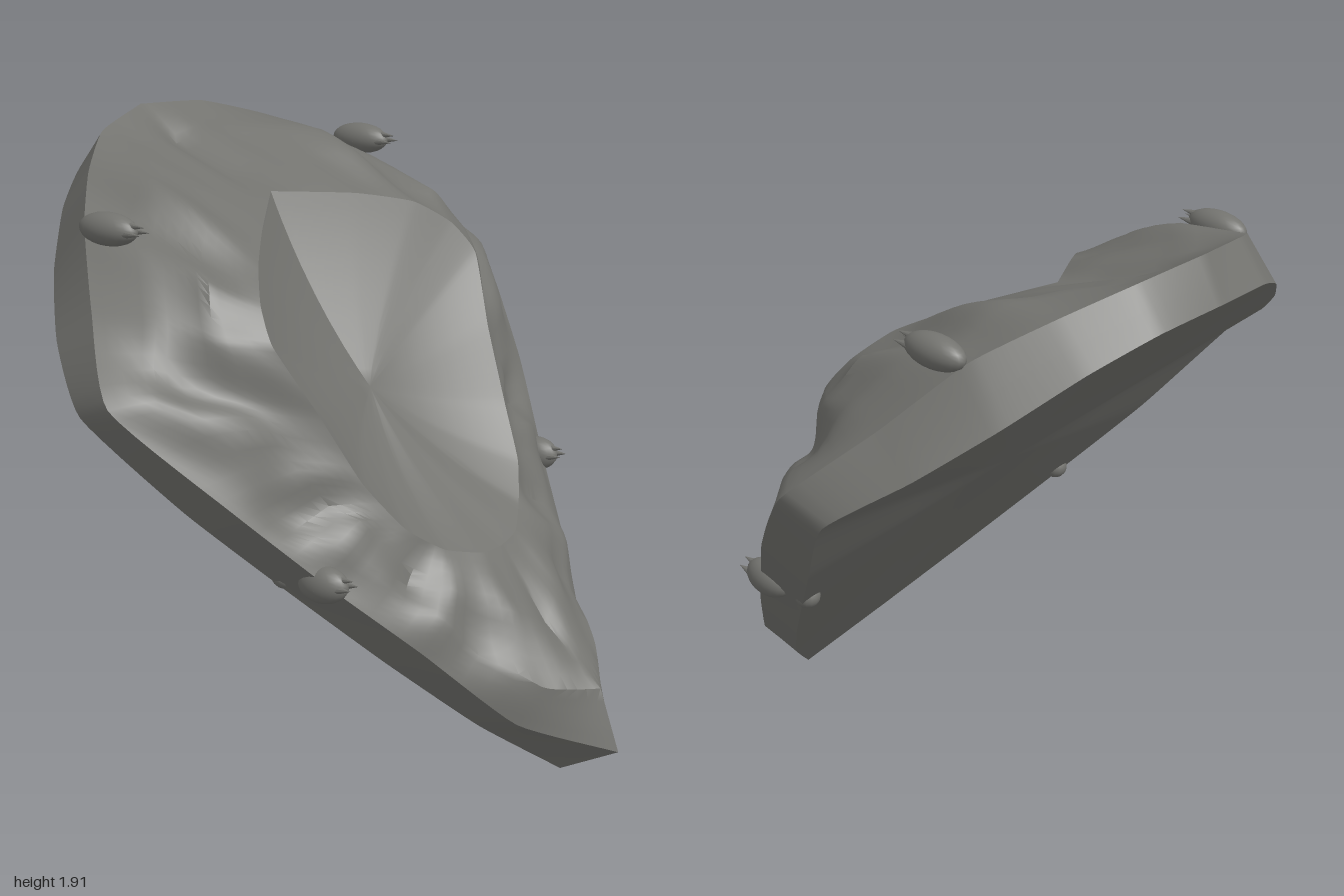
import * as THREE from 'three';
import { toCreasedNormals } from 'three/addons/utils/BufferGeometryUtils.js';

const HALF = 70; // samples along one half of each ring

// Half rings from top centre, past the side corner, to the bottom tip: [z, y, x]
const BACK_RIM = [[0, 1.78, -.94], [.25, 1.76, -.91], [.45, 1.68, -.82], [.65, 1.55, -.69], [.83, 1.41, -.53], [.97, 1.26, -.33],
  [.8, .96, -.1], [.6, .68, .14], [.42, .44, .35], [.22, .2, .56], [0, 0, .73]];
const FRONT_RIM = [[0, 1.91, -.87], [.25, 1.88, -.82], [.45, 1.81, -.71], [.64, 1.71, -.57], [.82, 1.52, -.4], [1, 1.32, -.2],
  [.81, 1.01, .08], [.62, .75, .29], [.44, .52, .49], [.23, .25, .7], [0, .12, .93]];
const OUTER_ROCK = [[0, 1.8, -.73], [.2, 1.84, -.65], [.4, 1.79, -.52], [.57, 1.7, -.41], [.74, 1.52, -.23], [.86, 1.33, -.1],
  [.7, 1.03, .11], [.53, .8, .31], [.36, .59, .51], [.17, .37, .75], [0, .32, .86]];
const INNER_ROCK = [[0, 1.73, -.5], [.23, 1.74, -.42], [.42, 1.69, -.3], [.6, 1.6, -.15], [.68, 1.46, -.06], [.67, 1.29, .01],
  [.56, 1.05, .16], [.44, .85, .31], [.29, .67, .49], [.13, .57, .63], [0, .49, .66]];
const RIDGE = [[0, 1.7, -.36], [.25, 1.66, -.21], [.42, 1.61, -.1], [.52, 1.53, -.02], [.56, 1.43, .05], [.48, 1.22, .15],
  [.41, 1, .26], [.33, .85, .36], [.22, .76, .43], [.1, .72, .49], [0, .71, .5]];

// Lightly rounded half ring, mirrored in z to a closed loop
function fullRing(points) {
  const curve = new THREE.CatmullRomCurve3(points.map(([z, y, x]) => new THREE.Vector3(x, y, z)), false, 'catmullrom', .25);
  const half = [];
  for (let i = 0; i <= HALF; i++) half.push(curve.getPoint(i / HALF));
  const mirrored = half.slice(1, HALF).reverse().map((p) => new THREE.Vector3(p.x, p.y, -p.z));
  return half.concat(mirrored);
}

// Folded wrinkles running across the rocky band, mirrored in z and calm at the centre line
function wrinkle(p) {
  const z = Math.abs(p.z);
  const a = Math.atan2(z, p.y - 1.15);
  const r = Math.hypot(z, p.y - 1.15);
  const folds = .014 * Math.sin(a * 13 + r * 9) + .012 * Math.sin(a * 7 - r * 14 + 1) + .008 * Math.sin(a * 23 + r * 5 + 2);
  return folds * Math.min(1, z / .15);
}

// Shift a point along the slab's facing direction
function lift(p, d) {
  return p.add(new THREE.Vector3(d * .73, d * .68, 0));
}

function blend(a, b, t) {
  return a.map((p, i) => p.clone().lerp(b[i], t));
}

// Join loops of equal length into one skin
function skin(loops) {
  const n = loops[0].length;
  const index = [];
  for (let i = 0; i < loops.length - 1; i++) {
    for (let j = 0; j < n; j++) {
      const k = (j + 1) % n;
      const a = i * n + j, b = i * n + k, c = (i + 1) * n + k, d = (i + 1) * n + j;
      index.push(a, b, c, a, c, d);
    }
  }
  const geometry = new THREE.BufferGeometry();
  geometry.setAttribute('position', new THREE.Float32BufferAttribute(loops.flat().flatMap((p) => [p.x, p.y, p.z]), 3));
  geometry.setIndex(index);
  return toCreasedNormals(geometry, .55);
}

export function createModel() {
  const model = new THREE.Group();
  const stone = new THREE.MeshStandardMaterial({ color: 0x73736f });
  stone.name = 'grey stone';

  const add = (name, geometry, parent = model) => {
    const mesh = new THREE.Mesh(geometry, stone);
    mesh.name = name;
    parent.add(mesh);
    return mesh;
  };

  const [backRim, frontRim, outer, inner, ridge] = [BACK_RIM, FRONT_RIM, OUTER_ROCK, INNER_ROCK, RIDGE].map(fullRing);
  const repeat = (x, y) => backRim.map(() => new THREE.Vector3(x, y, 0));

  // Slab: closed back, plain edge
  const backCentre = repeat(-.19, 1.08);
  add('slabBackAndEdge', skin([backCentre, blend(backCentre, backRim, .5), backRim, blend(backRim, frontRim, .5), frontRim]));

  // Rocky band: rim, two folds and the ridge, with wrinkles fading at both borders
  const bands = [frontRim, outer, inner, ridge];
  const rows = [frontRim];
  const STEPS = 5;
  for (let b = 0; b < 3; b++) {
    for (let s = 1; s <= STEPS; s++) {
      const fade = Math.sin(Math.PI * (b * STEPS + s) / (3 * STEPS));
      rows.push(blend(bands[b], bands[b + 1], s / STEPS).map((p) => lift(p, wrinkle(p) * fade * 1.2)));
    }
  }
  add('rockyBand', skin(rows));

  // Smooth bowl inside the ridge, rounded at its centre
  const bowlCentre = repeat(.1, 1.21);
  const bowl = [0, .06, .14, .24, .36, .5, .64, .78, .9, 1].map((t) => {
    const depth = .12 * (1 - (1 - t) ** 2);
    return blend(ridge, bowlCentre, t).map((p) => lift(p, -depth));
  });
  add('bowl', skin(bowl));

  // Claw-like studs on the edge
  const stud = (name, x, y, z, length, height, width, tilt) => {
    const group = new THREE.Group();
    group.name = name;
    group.position.set(x, y, z);
    group.rotation.z = tilt;
    add('studBody', new THREE.SphereGeometry(1, 20, 14).scale(length, height, width), group);
    for (const side of [-1, 0, 1]) {
      const claw = add('studClaw', new THREE.ConeGeometry(width * .6, length * 1.3, 10), group);
      claw.rotation.z = -Math.PI / 2;
      claw.position.set(length * .65, height * (side === 0 ? .35 : -.05), side * width * .4);
    }
    model.add(group);
  };
  for (const side of [-1, 1]) {
    stud('upperStud', -.465, 1.72, side * .655, .105, .05, .05, .05);
    stud('lowerStud', .26, .755, side * .615, .085, .058, .05, .15);
    const nub = add('rearNub', new THREE.SphereGeometry(.04, 14, 10));
    nub.position.set(.11, .74, side * .6);
  }
  return model;
}
